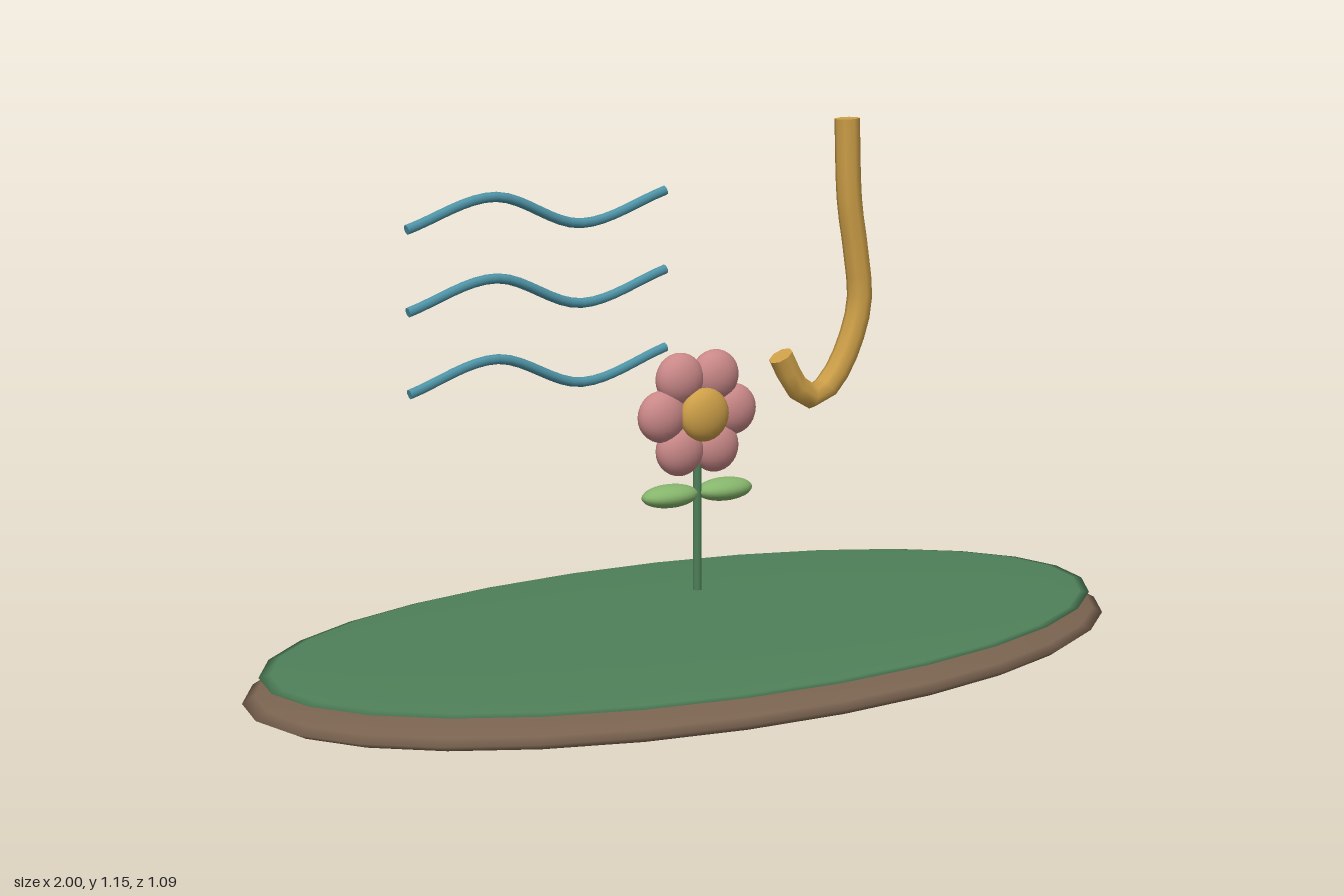
import * as THREE from 'three';

const mat = (color) => new THREE.MeshStandardMaterial({ color, side: THREE.DoubleSide });
const brown = mat(0x7a6350), green = mat(0x4f8059), leafGreen = mat(0x86b56c);
const pink = mat(0xca8888), gold = mat(0xcd9f48), blue = mat(0x4f95a8);

function add(parent, name, geometry, material, x = 0, y = 0, z = 0) {
  const mesh = new THREE.Mesh(geometry, material);
  mesh.name = name;
  mesh.position.set(x, y, z);
  parent.add(mesh);
  return mesh;
}

const ellipsoid = (rx, ry, rz, w = 20, h = 14) => new THREE.SphereGeometry(1, w, h).scale(rx, ry, rz);

// Round tube through points in the xy plane, closed by a disc at each end
function cappedTube(parent, name, points, radius, segments, sides, material) {
  const group = new THREE.Group();
  group.name = name;
  const curve = new THREE.CatmullRomCurve3(points.map(([x, y]) => new THREE.Vector3(x, y, 0)));
  add(group, name + 'Tube', new THREE.TubeGeometry(curve, segments, radius, sides), material);
  for (const t of [0, 1]) {
    const p = curve.getPointAt(t);
    const dir = curve.getTangentAt(t).multiplyScalar(t ? 1 : -1);
    const cap = add(group, name + 'Cap', new THREE.CircleGeometry(radius, sides), material, p.x, p.y, p.z);
    cap.lookAt(p.clone().add(dir));
  }
  parent.add(group);
}

export function createModel() {
  const model = new THREE.Group();

  // Oval ground: earth below, grass on top
  add(model, 'earth', ellipsoid(1, 0.057, 0.545, 28, 14), brown, 0, 0.057);
  add(model, 'grass', ellipsoid(0.965, 0.017, 0.525, 28, 14), green, 0, 0.105);

  // Flower
  const flower = new THREE.Group();
  flower.name = 'flower';
  model.add(flower);
  add(flower, 'stem', new THREE.CylinderGeometry(0.009, 0.009, 0.36, 10), green, 0, 0.36);
  for (const side of [-1, 1])
    add(flower, 'leaf', ellipsoid(0.065, 0.024, 0.037), leafGreen, side * 0.067, 0.387);
  for (let i = 0; i < 6; i++) {
    const a = (i * Math.PI) / 3;
    add(flower, 'petal', ellipsoid(0.054, 0.054, 0.037), pink,
      0.086 * Math.cos(a), 0.555 + 0.086 * Math.sin(a));
  }
  add(flower, 'flowerCentre', ellipsoid(0.056, 0.056, 0.03), gold, 0, 0.555, 0.028);

  // Hooked cane floating beside the flower
  cappedTube(model, 'hook', [
    [0.372, 1.144], [0.38, 0.97], [0.398, 0.86], [0.408, 0.754], [0.376, 0.652],
    [0.334, 0.588], [0.294, 0.561], [0.25, 0.583], [0.207, 0.655],
  ], 0.027, 18, 8, gold);

  // Three waves of wind
  for (let i = 0; i < 3; i++) {
    const y = 0.657 + i * 0.16;
    cappedTube(model, 'windLine', [
      [-0.66, y], [-0.468, y + 0.052], [-0.275, y - 0.012], [-0.077, y + 0.042],
    ], 0.01, 24, 8, blue);
  }
  return model;
}
